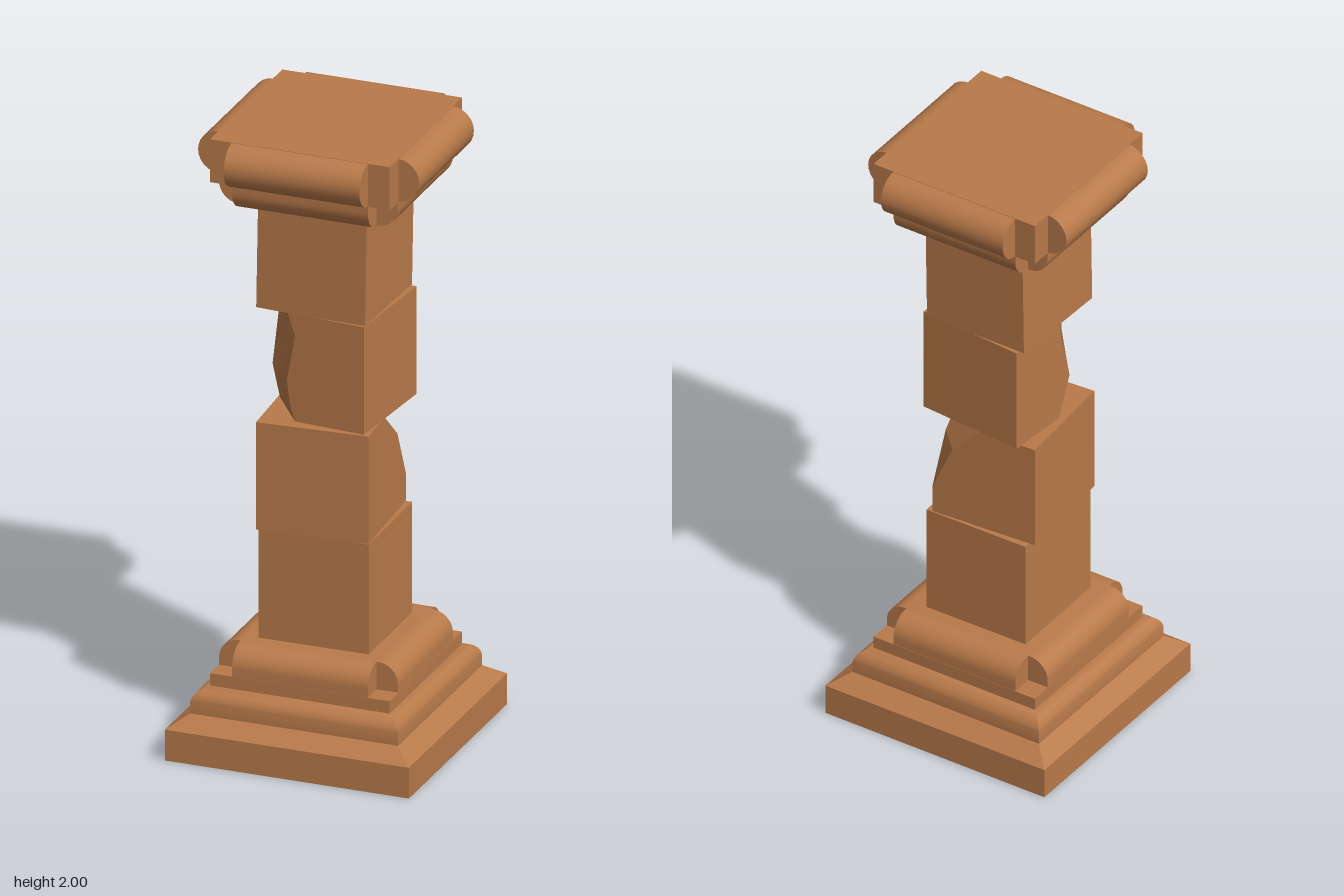
import * as THREE from 'three';
import { toCreasedNormals } from 'three/addons/utils/BufferGeometryUtils.js';
import { ConvexGeometry } from 'three/addons/geometries/ConvexGeometry.js';

const stone = new THREE.MeshStandardMaterial({ color: 0xb97a4a });
stone.name = 'sandstone';

const H = 0.178; // half width of a shaft block

function add(parent, name, geometry, x = 0, y = 0, z = 0) {
  const mesh = new THREE.Mesh(geometry, stone);
  mesh.name = name;
  mesh.position.set(x, y, z);
  parent.add(mesh);
  return mesh;
}

// Points along an arc, angles in degrees
function arc(cx, cy, r, from, to, n = 8) {
  return Array.from({ length: n + 1 }, (_, i) => {
    const t = THREE.MathUtils.degToRad(from + (to - from) * i / n);
    return new THREE.Vector2(cx + r * Math.cos(t), cy + r * Math.sin(t));
  });
}

// Two crossed bars with a mirrored profile: rolls on four sides, open corners
function addRolls(parent, name, half) {
  const mirrored = half.map(p => new THREE.Vector2(-p.x, p.y)).reverse();
  const bar = new THREE.ExtrudeGeometry(new THREE.Shape([...half, ...mirrored]), { depth: 0.44, bevelEnabled: false });
  bar.translate(0, 0, -0.22);
  const geometry = toCreasedNormals(bar, 0.6);
  for (let i = 0; i < 2; i++) add(parent, name, geometry).rotation.y = i * Math.PI / 2;
}

// Square stepped plinth: a four-sided lathe
function plinthGeometry() {
  const profile = [[0, 0], [0.395, 0], [0.395, 0.1], [0.337, 0.14]].map(p => new THREE.Vector2(...p));
  profile.push(...arc(0.287, 0.17, 0.05, 0, 90), new THREE.Vector2(0, 0.22));
  profile.forEach(p => { p.x *= Math.SQRT2; });
  return toCreasedNormals(new THREE.LatheGeometry(profile, 4, Math.PI / 4), 0.6);
}

// Block with its back right top corner broken off
function cornerChipGeometry() {
  const t = 0.175;
  const points = [
    [-H, -t, -H], [H, -t, -H], [H, -t, H], [-H, -t, H],
    [-H, t, -H], [H, t, H], [-H, t, H],
    [H, t, 0.2 - H], [H, 0.075, 0.08 - H], [H, -0.085, -H],
    [H - 0.07, 0.075, -H], [H - 0.17, t, -H],
  ];
  return new ConvexGeometry(points.map(p => new THREE.Vector3(...p)));
}

// Block with its front left edge worn away along the full height
function edgeChipGeometry() {
  // height, cut along the front, cut along the left side, inward dish
  const levels = [
    [-0.175, 0.125, 0.15, 0.0],
    [-0.125, 0.108, 0.13, 0.0],
    [-0.045, 0.098, 0.10, 0.0],
    [0.105, 0.125, 0.14, 0.012],
    [0.175, 0.10, 0.15, 0.0],
  ];
  const rings = levels.map(([y, a, b, d]) => [
    [H, H], [H, -H], [-H, -H], [-H, H - b],
    [-H + a / 2 + d, H - b / 2 - d], [-H + a, H],
  ].map(([x, z]) => [x, y, z]));
  const pos = [];
  const tri = (...p) => p.forEach(v => pos.push(...v));
  const n = rings[0].length;
  for (let i = 0; i < rings.length - 1; i++) {
    const lo = rings[i], up = rings[i + 1];
    for (let j = 0; j < n; j++) {
      const k = (j + 1) % n;
      tri(lo[j], lo[k], up[k]);
      tri(lo[j], up[k], up[j]);
    }
  }
  // End caps, fanned from the back right corner
  const bottom = rings[0], top = rings[rings.length - 1];
  for (let j = 2; j <= n; j++) {
    const k = (j + 1) % n;
    if (j === n) continue;
    tri(top[1], top[j], top[k]);
    tri(bottom[1], bottom[k], bottom[j]);
  }
  const geometry = new THREE.BufferGeometry();
  geometry.setAttribute('position', new THREE.Float32BufferAttribute(pos, 3));
  return toCreasedNormals(geometry, 0.5);
}

export function createModel() {
  const pillar = new THREE.Group();
  pillar.name = 'ruinedPillar';

  // Base
  const base = new THREE.Group();
  base.name = 'base';
  pillar.add(base);
  add(base, 'plinth', plinthGeometry());
  add(base, 'baseSlab', new THREE.BoxGeometry(0.582, 0.04, 0.582), 0, 0.24, 0);
  addRolls(base, 'baseRoll', [
    new THREE.Vector2(0.29, 0.23), ...arc(0.225, 0.285, 0.065, 0, 90),
  ]);

  // Shaft of four shifted blocks
  const shaft = new THREE.Group();
  shaft.name = 'shaft';
  pillar.add(shaft);
  const block = new THREE.BoxGeometry(H * 2, 0.36, H * 2);
  add(shaft, 'lowestBlock', block, -0.002, 0.528, 0).rotation.y = 0.008;
  add(shaft, 'cornerChippedBlock', cornerChipGeometry(), -0.012, 0.885, 0.011).rotation.y = 0.062;
  add(shaft, 'edgeChippedBlock', edgeChipGeometry(), 0.004, 1.245, 0).rotation.y = -0.079;
  add(shaft, 'topBlock', block, -0.003, 1.6, 0).rotation.set(0.006, -0.025, -0.02);

  // Capital
  const capital = new THREE.Group();
  capital.name = 'capital';
  pillar.add(capital);
  add(capital, 'capitalSlab', new THREE.BoxGeometry(0.582, 0.14, 0.582), 0, 1.93, 0);
  addRolls(capital, 'lowerCapitalRoll', [
    ...arc(0.225, 1.837, 0.065, -90, 0), new THREE.Vector2(0.29, 1.87),
  ]);
  addRolls(capital, 'upperCapitalRoll', arc(0.289, 1.93, 0.069, -90, 90, 12));

  return pillar;
}
